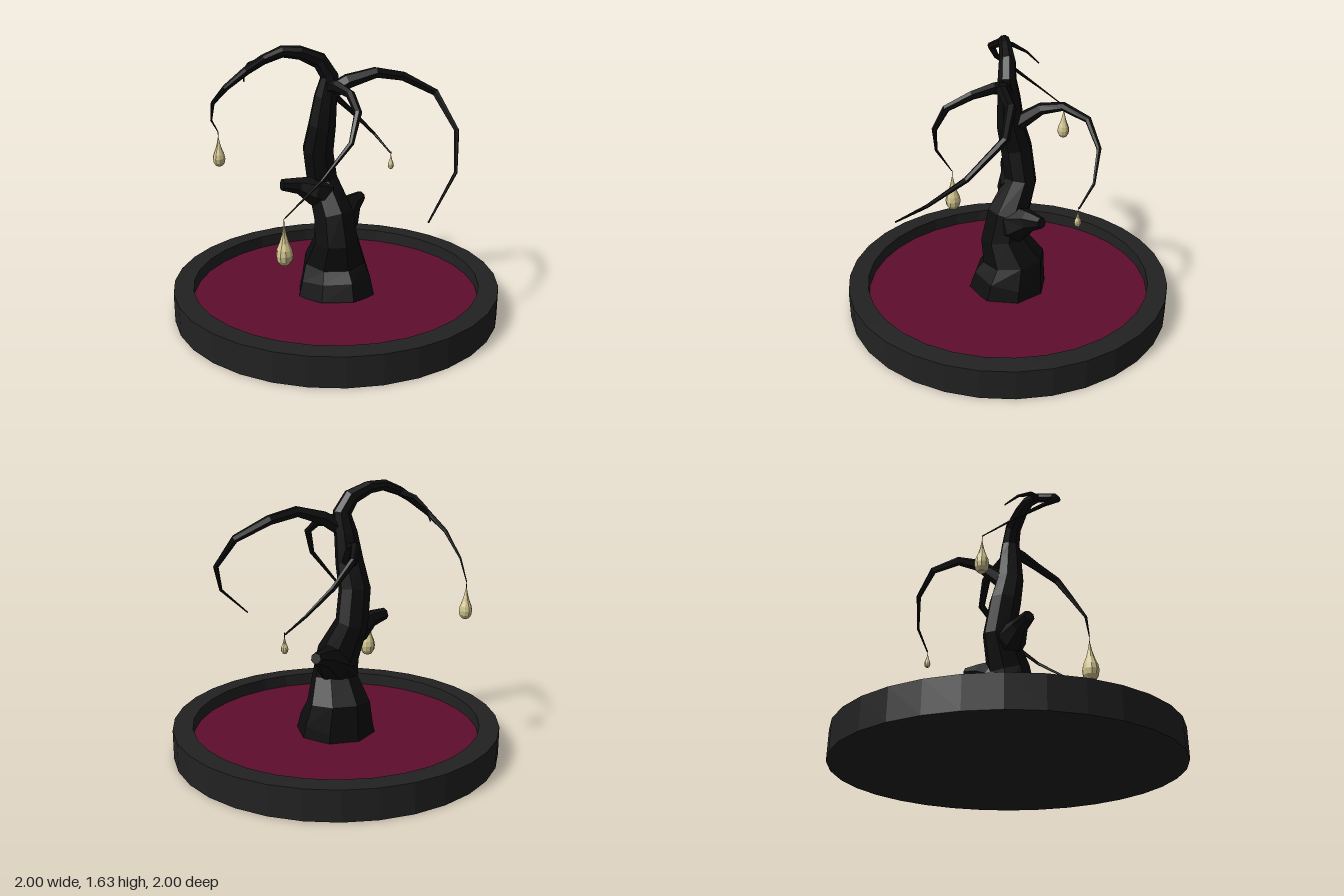
import * as THREE from 'three';

const mat = (color) => new THREE.MeshStandardMaterial({ color, flatShading: true, roughness: 0.9 });

// Faceted limb through [x, y, z, radius] stations, closed at both ends.
function limbGeometry(stations, sides) {
  const centres = stations.map((s) => new THREE.Vector3(s[0], s[1], s[2]));
  const last = centres.length - 1;
  const positions = [];
  const index = [];
  const tangent = new THREE.Vector3();
  const previous = new THREE.Vector3();
  const u = new THREE.Vector3();
  const v = new THREE.Vector3();
  const turn = new THREE.Quaternion();
  centres.forEach((c, i) => {
    tangent.set(0, 0, 0);
    if (i > 0) tangent.add(c.clone().sub(centres[i - 1]).normalize());
    if (i < last) tangent.add(centres[i + 1].clone().sub(c).normalize());
    tangent.normalize();
    // Carry the ring's frame along the limb without twisting
    if (i === 0) {
      u.set(1, 0, 0);
      if (Math.abs(tangent.x) > 0.8) u.set(0, 0, 1);
    } else {
      u.applyQuaternion(turn.setFromUnitVectors(previous, tangent));
    }
    u.addScaledVector(tangent, -u.dot(tangent)).normalize();
    v.crossVectors(tangent, u);
    previous.copy(tangent);
    for (let j = 0; j < sides; j++) {
      const a = ((j + 0.5) / sides) * Math.PI * 2;
      const p = c.clone()
        .addScaledVector(u, Math.cos(a) * stations[i][3])
        .addScaledVector(v, Math.sin(a) * stations[i][3]);
      positions.push(p.x, p.y, p.z);
    }
  });
  const start = positions.length / 3;
  positions.push(...centres[0].toArray(), ...centres[last].toArray());
  for (let j = 0; j < sides; j++) {
    const k = (j + 1) % sides;
    for (let i = 0; i < last; i++) {
      const a = i * sides + j, b = i * sides + k;
      index.push(a, b, b + sides, a, b + sides, a + sides);
    }
    index.push(k, j, start, last * sides + j, last * sides + k, start + 1);
  }
  const g = new THREE.BufferGeometry();
  g.setAttribute('position', new THREE.Float32BufferAttribute(positions, 3));
  g.setIndex(index);
  g.computeVertexNormals();
  return g;
}

export function createModel() {
  const model = new THREE.Group();
  const stone = mat(0x222222);
  const soil = mat(0x5e0e2d);
  const bark = mat(0x0d0d0d);
  const amber = mat(0xd2c48e);

  const add = (name, geometry, material, parent = model) => {
    const mesh = new THREE.Mesh(geometry, material);
    mesh.name = name;
    parent.add(mesh);
    return mesh;
  };

  // Round dish with a raised rim and coloured floor
  const dish = [[0, 0], [1, 0], [1, 0.18], [0.88, 0.18], [0.88, 0.09]];
  add('dish', new THREE.LatheGeometry(dish.map((p) => new THREE.Vector2(...p)), 32), stone);
  const floor = add('dishFloor', new THREE.CircleGeometry(0.88, 32), soil);
  floor.rotation.x = -Math.PI / 2;
  floor.position.y = 0.1;

  const tree = new THREE.Group();
  tree.name = 'tree';
  model.add(tree);

  // Crooked trunk running into the highest branch
  add('trunk', limbGeometry([
    [0, 0.08, 0, 0.25], [0.01, 0.18, -0.01, 0.228], [0.02, 0.3, -0.03, 0.195],
    [-0.02, 0.45, 0.02, 0.142], [-0.01, 0.6, -0.01, 0.13], [-0.01, 0.8, -0.105, 0.1],
    [-0.05, 1.0, -0.1, 0.097], [-0.055, 1.16, -0.06, 0.085], [-0.045, 1.33, -0.04, 0.07],
    [-0.035, 1.45, -0.02, 0.056], [-0.08, 1.54, -0.055, 0.05], [-0.18, 1.59, -0.115, 0.04],
    [-0.27, 1.6, -0.17, 0.034], [-0.37, 1.56, -0.22, 0.028], [-0.49, 1.51, -0.23, 0.024],
    [-0.565, 1.415, -0.32, 0.018], [-0.555, 1.31, -0.45, 0.012],
    [-0.45, 1.17, -0.6, 0.006], [-0.32, 1.06, -0.7, 0.003],
  ], 8), bark, tree);

  // Stubs of lost limbs
  add('rightStub', limbGeometry([
    [-0.02, 0.73, -0.06, 0.1], [-0.1, 0.755, -0.1, 0.09],
    [-0.18, 0.795, -0.14, 0.052], [-0.275, 0.812, -0.185, 0.036],
  ], 7), bark, tree);
  add('leftStub', limbGeometry([
    [0, 0.53, -0.01, 0.12], [0.08, 0.565, -0.02, 0.115],
    [0.18, 0.615, -0.03, 0.065], [0.282, 0.64, -0.04, 0.033],
  ], 7), bark, tree);

  // Drooping side branches
  const branches = {
    leftFrontBranch: [
      [-0.04, 1.35, -0.02, 0.05], [0.04, 1.42, 0.06, 0.045], [0.17, 1.465, 0.16, 0.034],
      [0.34, 1.43, 0.23, 0.03], [0.48, 1.33, 0.37, 0.023], [0.42, 1.14, 0.57, 0.016],
      [0.23, 0.95, 0.7, 0.01], [-0.07, 0.74, 0.735, 0.005],
    ],
    leftBackBranch: [
      [-0.04, 1.15, -0.07, 0.055], [0.1, 1.275, -0.17, 0.036], [0.2, 1.3, -0.25, 0.027],
      [0.34, 1.245, -0.32, 0.021], [0.48, 1.12, -0.285, 0.015], [0.575, 0.97, -0.17, 0.009],
      [0.594, 0.86, -0.05, 0.005],
    ],
    rightFrontBranch: [
      [-0.045, 1.39, -0.03, 0.045], [-0.06, 1.4, 0.06, 0.035], [-0.09, 1.375, 0.19, 0.027],
      [-0.17, 1.3, 0.315, 0.023], [-0.26, 1.15, 0.345, 0.016], [-0.4, 0.95, 0.255, 0.009],
      [-0.515, 0.72, 0.075, 0.003],
    ],
    twig: [
      [-0.37, 1.555, -0.22, 0.022], [-0.387, 1.525, -0.32, 0.014],
      [-0.355, 1.47, -0.41, 0.008], [-0.3, 1.4, -0.465, 0.004],
    ],
  };
  for (const [name, stations] of Object.entries(branches)) {
    add(name, limbGeometry(stations, 6), bark, tree);
  }

  // Hanging drops: x, z, bottom, top of body, radius, top of thread
  const profile = [[0, 0], [0.55, 0.04], [0.9, 0.14], [1, 0.27], [0.88, 0.4], [0.55, 0.56],
    [0.28, 0.74], [0.12, 0.9], [0, 1]];
  const drops = [
    ['largeDrop', -0.515, 0.073, 0.44, 0.69, 0.05, 0.72],
    ['mediumDrop', -0.32, -0.7, 0.835, 1.035, 0.04, 1.06],
    ['smallDrop', 0.594, -0.045, 0.75, 0.85, 0.02, 0.87],
  ];
  for (const [name, x, z, bottom, top, radius, threadTop] of drops) {
    const drop = new THREE.Group();
    drop.name = name;
    drop.position.set(x, 0, z);
    model.add(drop);
    const points = profile.map(([r, h]) => new THREE.Vector2(r * radius, bottom + h * (top - bottom)));
    add('dropBody', new THREE.LatheGeometry(points, 10), amber, drop);
    const low = top - 0.03;
    const thread = add('thread', new THREE.CylinderGeometry(0.002, 0.002, threadTop - low, 5), bark, drop);
    thread.position.y = (threadTop + low) / 2;
  }
  return model;
}
